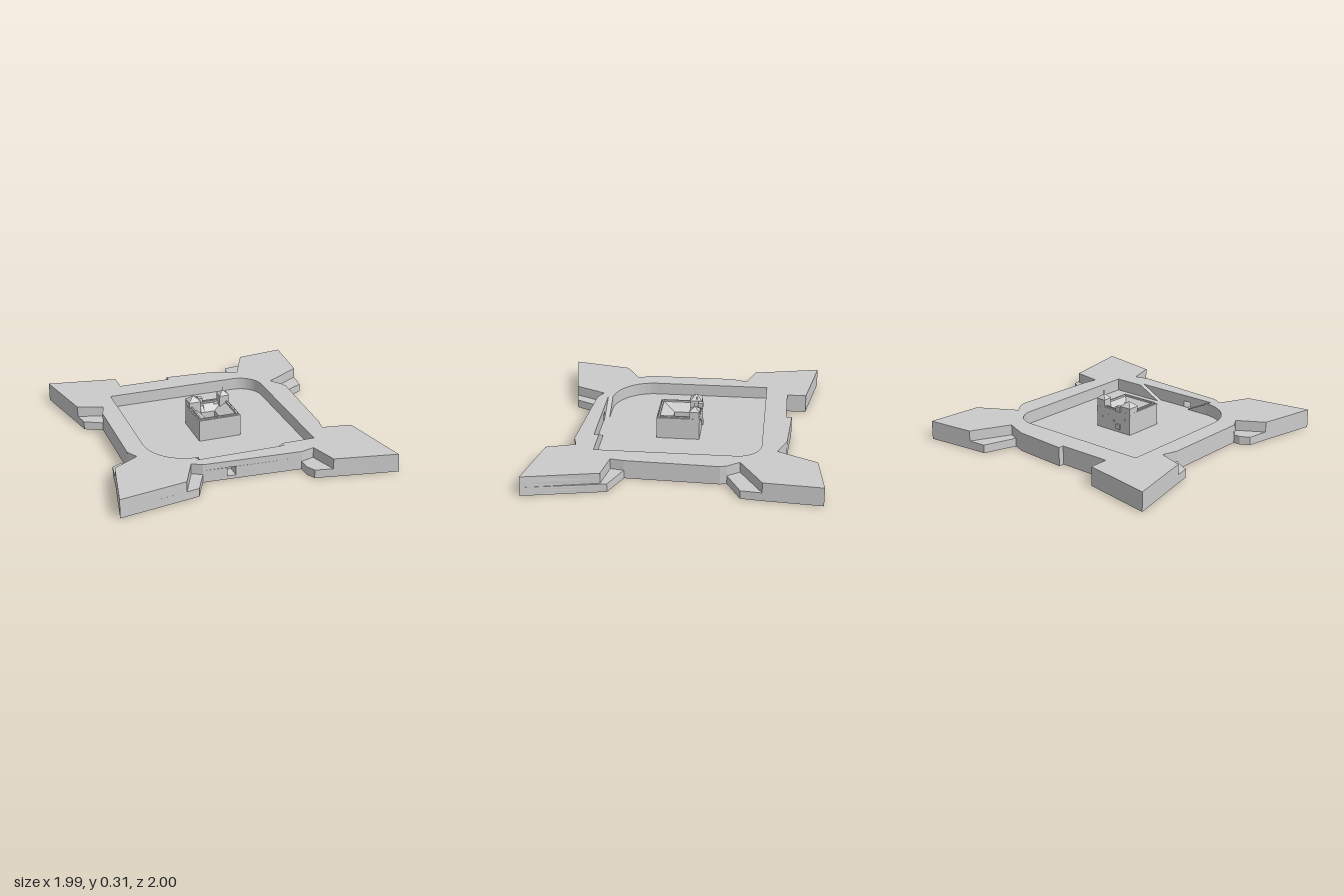
import * as THREE from 'three';

const WALL = 0.135, LEDGE = 0.06, FLOOR = 0.045, SILL = 0.025, LINTEL = 0.09;

export function createModel() {
  const root = new THREE.Group();
  root.name = 'starFort';
  const mat = new THREE.MeshStandardMaterial({ color: 0xcccccc, flatShading: true });
  const matOpen = new THREE.MeshStandardMaterial({ color: 0xcccccc, flatShading: true, side: THREE.DoubleSide });

  const add = (parent, name, geo, x = 0, y = 0, z = 0, m = mat) => {
    const mesh = new THREE.Mesh(geo, m);
    mesh.name = name;
    mesh.position.set(x, y, z);
    parent.add(mesh);
    return mesh;
  };
  // box from min and max corners
  const box = (parent, name, x0, x1, y0, y1, z0, z1) =>
    add(parent, name, new THREE.BoxGeometry(x1 - x0, y1 - y0, z1 - z0),
      (x0 + x1) / 2, (y0 + y1) / 2, (z0 + z1) / 2);
  // triangle or polygon in the xy plane, extruded along z
  const prism = (points, depth) => new THREE.ExtrudeGeometry(
    new THREE.Shape(points.map(p => new THREE.Vector2(...p))), { depth, bevelEnabled: false });
  // plan outline [x, z] raised from y0 to y1; the hole runs the opposite way round
  const toV = ([x, z]) => new THREE.Vector2(x, -z);
  const layer = (parent, name, outline, hole, y0, y1) => {
    const shape = new THREE.Shape(outline.map(toV));
    if (hole) shape.holes.push(new THREE.Path(hole.map(toV).reverse()));
    const geo = new THREE.ExtrudeGeometry(shape, { depth: y1 - y0, bevelEnabled: false });
    geo.rotateX(-Math.PI / 2);
    geo.translate(0, y0, 0);
    // slight batter on the front left bastion
    const p = geo.attributes.position;
    for (let i = 0; i < p.count; i++)
      if (p.getX(i) > 0.9 && p.getZ(i) > 0.9) p.setX(i, p.getX(i) - 0.1 * p.getY(i));
    return add(parent, name, geo);
  };
  const rect = (x0, x1, z0, z1) => [[x0, z0], [x1, z0], [x1, z1], [x0, z1]];
  const arc = (cx, cz, r, a0, a1, n = 10) => Array.from({ length: n + 1 }, (_, i) => {
    const a = a0 + (a1 - a0) * i / n;
    return [cx + r * Math.cos(a), cz + r * Math.sin(a)];
  });

  // sunken yard with two rounded corners and a recess for the ramps
  const yard = [
    [-0.34, 0.615], [-0.34, 0.579], ...arc(-0.31, 0.28, 0.3, Math.PI / 2, Math.PI),
    [-0.61, -0.57], ...arc(0.37, -0.4, 0.17, -Math.PI / 2, 0),
    [0.54, 0.58], [0.31, 0.58], [0.31, 0.615],
  ];
  // gate passage through the front wall, optionally opening into the yard
  const gate = inner => [[-0.09, 0.712], [-0.09, 0.615], ...inner, [-0.15, 0.615], [-0.15, 0.71]];
  const passage = gate([...yard].reverse());

  // rampart outline; the flanks recess further on the upper storey
  const outline = (upper, cut = []) => [
    [-0.995, -0.96], [-0.49, -0.87], [-0.49, -0.73], [-0.105, -0.73], [-0.105, -0.77],
    [0.28, -0.745], [0.375, -0.71],
    ...(upper ? [[0.445, -0.68]] : [[0.45, -0.945]]),
    [0.58, -0.957], [0.93, -1], [0.9, -0.595],
    ...(upper ? [[0.63, -0.435]] : [[0.885, -0.45]]),
    [0.69, -0.35], [0.705, -0.305], [0.682, 0.35],
    ...(upper ? [[0.665, 0.445], [0.875, 0.48]] : [[0.88, 0.435]]),
    [0.992, 1], [0.535, 0.915],
    ...(upper ? [[0.475, 0.715]] : [[0.41, 0.89], [0.38, 0.83]]),
    [0.378, 0.742],
    ...cut,
    [-0.32, 0.695],
    ...(upper ? [[-0.39, 0.655], [-0.495, 0.88]] : [[-0.405, 0.865]]),
    [-0.97, 0.96], [-0.885, 0.54],
    ...(upper ? [[-0.7, 0.43]] : [[-0.86, 0.385], [-0.795, 0.35]]),
    [-0.745, 0.35], [-0.745, -0.3],
    ...(upper ? [[-0.71, -0.41]] : [[-0.87, -0.365]]),
    [-0.89, -0.47],
  ];

  const rampart = new THREE.Group();
  rampart.name = 'rampart';
  root.add(rampart);
  layer(rampart, 'foundation', outline(false), null, 0, SILL);
  layer(rampart, 'yardFloor', outline(false, gate([])), null, SILL, FLOOR);
  layer(rampart, 'lowerWall', outline(false, passage), null, FLOOR, LEDGE);
  layer(rampart, 'gateWall', outline(true, passage), null, LEDGE, LINTEL);
  layer(rampart, 'upperWall', outline(true), yard, LINTEL, WALL);

  // two ramps meeting at the middle of the front inner wall
  for (const [foot, top] of [[0.14, 0.31], [-0.15, -0.34]])
    add(rampart, 'ramp', prism([[foot, FLOOR], [top, FLOOR], [top, WALL]], 0.035), 0, 0, 0.58);

  // keep: outer walls, set-back parapet, roofs falling inward, central light well
  const keep = new THREE.Group();
  keep.name = 'keep';
  root.add(keep);
  const rim = rect(-0.145, 0.115, -0.1, 0.17), well = rect(-0.08, 0.028, -0.04, 0.085);
  layer(keep, 'keepWall', rect(-0.17, 0.14, -0.115, 0.192), rim, FLOOR, 0.203);
  layer(keep, 'parapet', rect(-0.157, 0.127, -0.112, 0.181), rim, 0.203, 0.213);
  const pos = [];
  for (let i = 0; i < 4; i++) {
    const j = (i + 1) % 4;
    const P = (p, y) => [p[0], y, p[1]];
    const a = P(rim[i], 0.2), b = P(rim[j], 0.2), c = P(well[j], 0.15), d = P(well[i], 0.15);
    const e = P(well[j], FLOOR), f = P(well[i], FLOOR);
    pos.push(...a, ...d, ...c, ...a, ...c, ...b, ...d, ...f, ...e, ...d, ...e, ...c);
  }
  const roof = new THREE.BufferGeometry();
  roof.setAttribute('position', new THREE.Float32BufferAttribute(pos, 3));
  roof.computeVertexNormals();
  add(keep, 'innerRoof', roof, 0, 0, 0, matOpen);

  // teeth along the foot of the parapet
  for (let i = 0; i < 20; i++) {
    const t = (i + 0.5) / 20, x = -0.157 + 0.284 * t, z = -0.03 + 0.21 * t;
    box(keep, 'corbel', x - 0.004, x + 0.004, 0.202, 0.208, 0.18, 0.186);
    for (const sx of [-0.159, 0.129]) box(keep, 'corbel', sx - 0.003, sx + 0.003, 0.202, 0.208, z - 0.003, z + 0.003);
  }

  // corner towers with pyramid roofs
  const tower = (x0, x1, z0, z1, top, peak) => {
    const g = new THREE.Group();
    g.name = 'tower';
    keep.add(g);
    box(g, 'towerShaft', x0, x1, FLOOR, top, z0, z1);
    const cone = new THREE.ConeGeometry(Math.SQRT1_2, 1, 4);
    cone.rotateY(Math.PI / 4);
    cone.scale(x1 - x0 + 0.006, peak - top, z1 - z0 + 0.006);
    add(g, 'towerRoof', cone, (x0 + x1) / 2, (top + peak) / 2, (z0 + z1) / 2);
  };
  tower(-0.169, -0.082, -0.114, -0.03, 0.245, 0.282);
  tower(0.07, 0.139, -0.114, -0.046, 0.257, 0.29);
  box(keep, 'finial', 0.103, 0.106, 0.28, 0.315, -0.0815, -0.0785);
  box(keep, 'chimney', -0.096, -0.09, 0.24, 0.27, -0.08, -0.074);

  // rear range between the towers
  box(keep, 'rearHall', -0.082, 0.07, FLOOR, 0.205, -0.105, -0.08);
  box(keep, 'stairTurret', -0.085, -0.047, 0.2, 0.24, -0.125, -0.09);
  box(keep, 'garderobe', -0.085, -0.047, 0.07, 0.105, -0.128, -0.11);
  for (const [x, y] of [[-0.12, 0.15], [-0.02, 0.12], [0.03, 0.15], [0.09, 0.13]])
    box(keep, 'rearWindow', x - 0.005, x + 0.005, y - 0.007, y + 0.007, -0.117, -0.11);
  const lean = prism([[0.08, 0.2], [0.04, 0.15], [0.08, 0.15]], 0.08);
  lean.rotateY(Math.PI / 2);
  add(keep, 'leanToRoof', lean, -0.047, 0, 0);

  return root;
}
